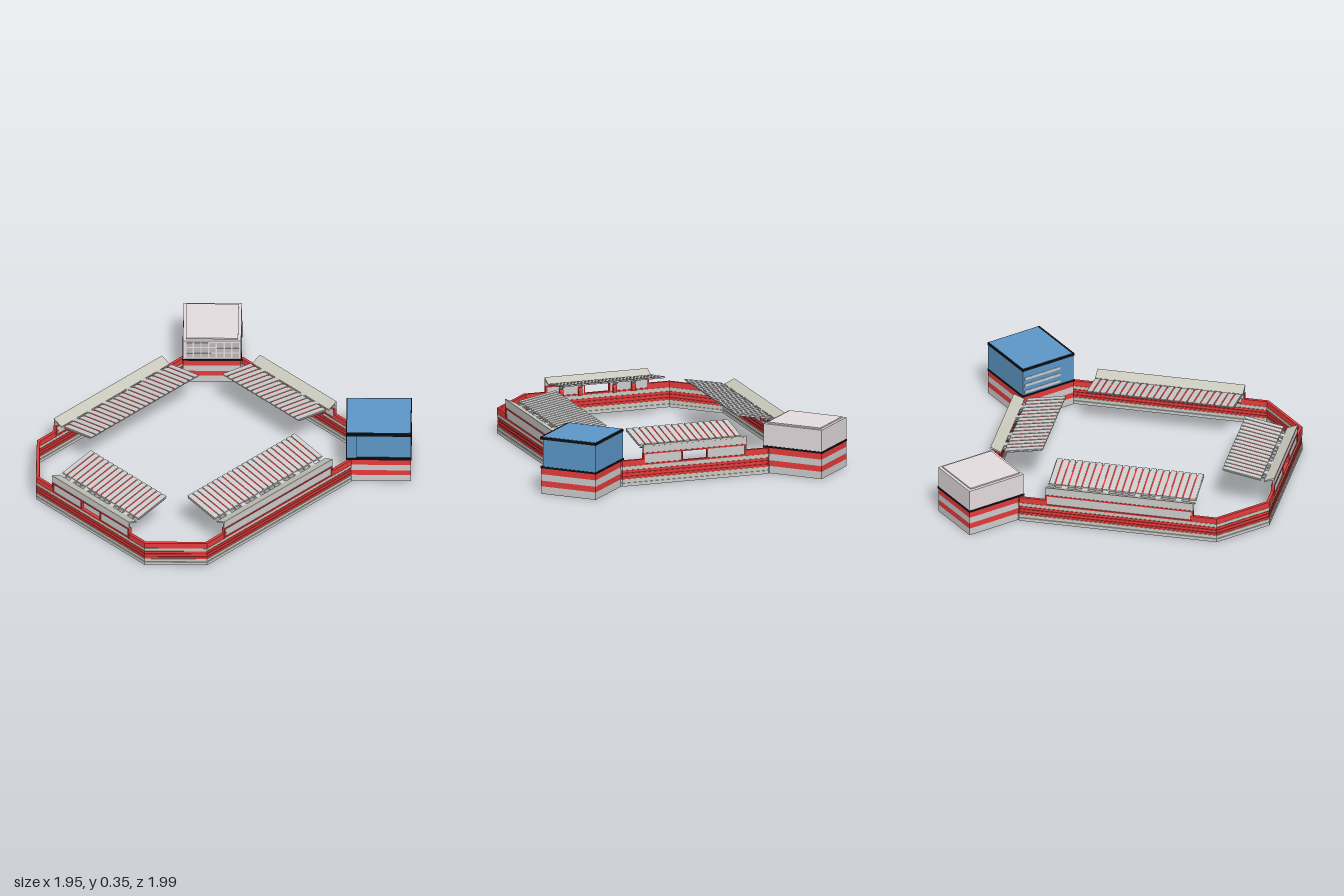
import * as THREE from 'three';

const mat = (color) => new THREE.MeshStandardMaterial({ color, flatShading: true });
const GREY = mat(0xcccccc), RED = mat(0xe63a3a), DARKRED = mat(0xa32a2a), BLACK = mat(0x111111);
const BLUE = mat(0x5c96c6), PALE = mat(0xe4dbde), CONCRETE = mat(0xc8c8bc), PANE = mat(0xbcb8ba);

function add(parent, name, geo, material) {
  const mesh = new THREE.Mesh(geo, material);
  mesh.name = name;
  parent.add(mesh);
  return mesh;
}

// Box given by its ranges on each axis
function block(parent, name, material, [x0, x1], [y0, y1], [z0, z1]) {
  const geo = new THREE.BoxGeometry(x1 - x0, y1 - y0, z1 - z0);
  geo.translate((x0 + x1) / 2, (y0 + y1) / 2, (z0 + z1) / 2);
  return add(parent, name, geo, material);
}

const shapeOf = (pts) => new THREE.Shape(pts.map(([x, y]) => new THREE.Vector2(x, y)));

// Profile of [z, y] points swept along x, centred on x
function sweep(parent, name, material, pts, x, width) {
  const geo = new THREE.ExtrudeGeometry(shapeOf(pts), { depth: width, bevelEnabled: false });
  geo.rotateY(-Math.PI / 2).translate(x + width / 2, 0, 0);
  return add(parent, name, geo, material);
}

// Plan shape raised from y0 to y1
function raise(parent, name, material, shape, y0, y1) {
  const geo = new THREE.ExtrudeGeometry(shape, { depth: y1 - y0, bevelEnabled: false });
  geo.rotateX(-Math.PI / 2).translate(0, y0, 0);
  return add(parent, name, geo, material);
}

// Perimeter wall: rectangle with cut corners, inset by d
const HX = 0.73, HZ = 0.87, CUT = 0.265, THICK = 0.022;
const quarter = (d) => {
  const c = CUT - d * 0.586;
  return [[HX - d, HZ - d - c], [HX - d - c, HZ - d]];
};
const outline = (d) => {
  const [[ax, az], [bx, bz]] = quarter(d);
  return [[ax, -az], [ax, az], [bx, bz], [-bx, bz], [-ax, az], [-ax, -az], [-bx, -bz], [bx, -bz]];
};

function perimeterWall() {
  const wall = new THREE.Group();
  wall.name = 'perimeterWall';
  wall.position.set(-0.01, 0, 0.12);
  // [bottom, top, material, inset]
  const bands = [
    [0, 0.02, GREY, 0], [0.02, 0.026, GREY, 0.006], [0.026, 0.045, CONCRETE, 0],
    [0.045, 0.058, RED, 0.003], [0.058, 0.064, DARKRED, 0.007], [0.064, 0.079, RED, 0.003],
    [0.079, 0.085, DARKRED, 0.007], [0.085, 0.098, RED, 0.003],
    [0.098, 0.104, GREY, 0.006], [0.104, 0.122, CONCRETE, 0],
  ];
  for (const [y0, y1, m, inset] of bands) {
    const ring = shapeOf(outline(inset));
    ring.holes.push(new THREE.Path(outline(THICK - inset).map(([x, y]) => new THREE.Vector2(x, y))));
    raise(wall, 'wallBand', m, ring, y0, y1);
  }
  // Red parapets round the corners, leaving room for the stands
  const [oa, ob] = quarter(0.002), [ia, ib] = quarter(THICK - 0.002);
  const corner = [[oa[0], 0.44], oa, ob, [0.32, ob[1]], [0.32, ib[1]], ib, ia, [ia[0], 0.44]];
  for (const sx of [-1, 1]) for (const sz of [-1, 1])
    raise(wall, 'parapet', RED, shapeOf(corner.map(([x, z]) => [sx * x, sz * z])), 0.122, 0.158);
  return wall;
}

// Covered stand; local +z points outward, outer face on z = 0
function stand(name, length, ribs, struts, open) {
  const g = new THREE.Group();
  g.name = name;
  const h = length / 2;

  // Red frame with its panels
  const frame = shapeOf([[-h, 0.122], [h, 0.122], [h, 0.196], [-h, 0.196]]);
  const bays = open ? [[-h + 0.01, -0.084], [-0.077, 0.077], [0.084, h - 0.01]] : [[-h + 0.01, h - 0.01]];
  bays.forEach(([a, b], i) => {
    frame.holes.push(new THREE.Path([[a, 0.131], [b, 0.131], [b, 0.187], [a, 0.187]].map((p) => new THREE.Vector2(...p))));
    if (!open || i !== 1) block(g, 'wallPanel', GREY, [a, b], [0.131, 0.187], [-0.016, -0.005]);
  });
  const frameGeo = new THREE.ExtrudeGeometry(frame, { depth: 0.022, bevelEnabled: false }).translate(0, 0, -0.021);
  add(g, 'wallFrame', frameGeo, RED);

  // Upper wall and the hood falling inward
  block(g, 'upperWall', GREY, [-h, h], [0.196, 0.238], [-0.012, -0.002]);
  sweep(g, 'hood', CONCRETE, [[0, 0.236], [0, 0.247], [-0.065, 0.219], [-0.065, 0.211]], 0, length);

  // Roof rising toward the field: plate, slats and red seams
  const roofY = (z) => 0.222 + (-0.085 - z) * 0.185;
  const strip = (z0, z1, low, high) =>
    [[z0, roofY(z0) + low], [z0, roofY(z0) + high], [z1, roofY(z1) + high], [z1, roofY(z1) + low]];
  sweep(g, 'roofPlate', GREY, strip(-0.085, -0.312, -0.004, 0.001), 0, length);
  const pitch = length / ribs;
  for (let i = 0; i < ribs; i++) {
    const x = -h + pitch * (i + 0.5);
    sweep(g, 'roofSlat', GREY, strip(-0.085, -0.32, 0, 0.007), x, pitch - 0.009);
    if (i === 0) continue;
    sweep(g, 'roofSeam', RED, strip(-0.092, -0.303, 0, 0.004), x - pitch / 2, 0.009);
    sweep(g, 'linkBar', GREY, strip(-0.055, -0.09, -0.006, 0), x - pitch / 2, 0.006);
  }

  // Struts carrying the roof
  for (const x of struts) {
    sweep(g, 'strut', GREY, [[-0.012, 0.162], [-0.012, 0.186], [-0.085, 0.222], [-0.2, 0.242], [-0.2, 0.236], [-0.1, 0.211]], x, 0.014);
    sweep(g, 'bracket', GREY, strip(-0.06, -0.1, -0.008, 0.003), x, 0.034);
    sweep(g, 'strutFoot', RED, [[-0.012, 0.122], [-0.012, 0.19], [-0.034, 0.155], [-0.034, 0.122]], x, 0.024);
  }
  return g;
}

// Striped tower base; w along local x, d along local z
function towerBase(name, w, d, lowest) {
  const g = new THREE.Group();
  g.name = name;
  const layers = [[0, 0.045, lowest], [0.045, 0.08, RED], [0.08, 0.12, GREY], [0.12, 0.157, RED]];
  for (const [y0, y1, m] of layers)
    block(g, 'baseBand', m, [-w / 2, w / 2], [y0, y1], [-d / 2, d / 2]);
  block(g, 'baseLedge', BLACK, [-w / 2 - 0.004, w / 2 + 0.004], [0.157, 0.168], [-d / 2 - 0.004, d / 2 + 0.004]);
  g.rotation.y = -Math.PI / 4;
  return g;
}

function greyTower() {
  const w = 0.383, d = 0.348;
  const g = towerBase('greyTower', w, d, GREY);
  block(g, 'upperStorey', PALE, [-w / 2, w / 2], [0.168, 0.302], [-d / 2, d / 2]);
  block(g, 'roofPanel', PALE, [-w / 2 + 0.018, w / 2 - 0.018], [0.302, 0.31], [-d / 2 + 0.018, d / 2 - 0.018]);
  // Window grid on the side facing the field
  for (let row = 0; row < 3; row++) for (let col = 0; col < 7; col++) {
    const y = 0.18 + row * 0.039, z = -0.16 + col * 0.046;
    block(g, 'windowPane', PANE, [w / 2 - 0.004, w / 2 + 0.002], [y, y + 0.031], [z, z + 0.038]);
  }
  return g;
}

function blueTower() {
  const w = 0.36, d = 0.385;
  const g = towerBase('blueTower', w, d, GREY);
  add(g, 'baseUnderside', new THREE.BoxGeometry(w - 0.002, 0.002, d - 0.002), RED).position.y = 0;
  block(g, 'upperStorey', BLUE, [-w / 2, w / 2 - 0.012], [0.168, 0.336], [-d / 2, d / 2]);
  block(g, 'cornerPier', BLUE, [w / 2 - 0.05, w / 2], [0.168, 0.336], [d / 2 - 0.06, d / 2]);
  block(g, 'roofTrim', BLACK, [-w / 2 - 0.003, w / 2 + 0.006], [0.334, 0.349], [-d / 2 - 0.003, d / 2 + 0.003]);
  block(g, 'roofPanel', BLUE, [-w / 2 + 0.003, w / 2 - 0.01], [0.345, 0.351], [-d / 2 + 0.003, d / 2 - 0.003]);
  // Pale strips on the side facing the field
  for (const y of [0.18, 0.225, 0.27])
    block(g, 'windowStrip', GREY, [-w / 2 + 0.012, w / 2 - 0.095], [y, y + 0.018], [d / 2 - 0.004, d / 2 + 0.002]);
  return g;
}

export function createModel() {
  const model = new THREE.Group();
  model.name = 'stadium';
  model.add(perimeterWall());

  // [name, length, ribs, struts, opening, x, z, turn]
  const endStruts = [-0.23, -0.11, 0.11, 0.23];
  const sideStruts = [-0.35, -0.225, -0.1, 0.1, 0.225, 0.35];
  const stands = [
    ['frontStand', 0.656, 16, endStruts, true, -0.0075, 0.99, 0],
    ['backStand', 0.656, 16, endStruts, true, -0.0075, -0.75, Math.PI],
    ['leftStand', 0.906, 22, sideStruts, false, 0.72, 0.1275, Math.PI / 2],
    ['rightStand', 0.906, 22, sideStruts, false, -0.74, 0.1275, -Math.PI / 2],
  ];
  for (const [name, length, ribs, struts, open, x, z, turn] of stands) {
    const s = stand(name, length, ribs, struts, open);
    s.position.set(x, 0, z);
    s.rotation.y = turn;
    model.add(s);
  }

  const grey = greyTower();
  grey.position.set(-0.717, 0, -0.725);
  const blue = blueTower();
  blue.position.set(0.704, 0, -0.73);
  model.add(grey, blue);
  return model;
}
